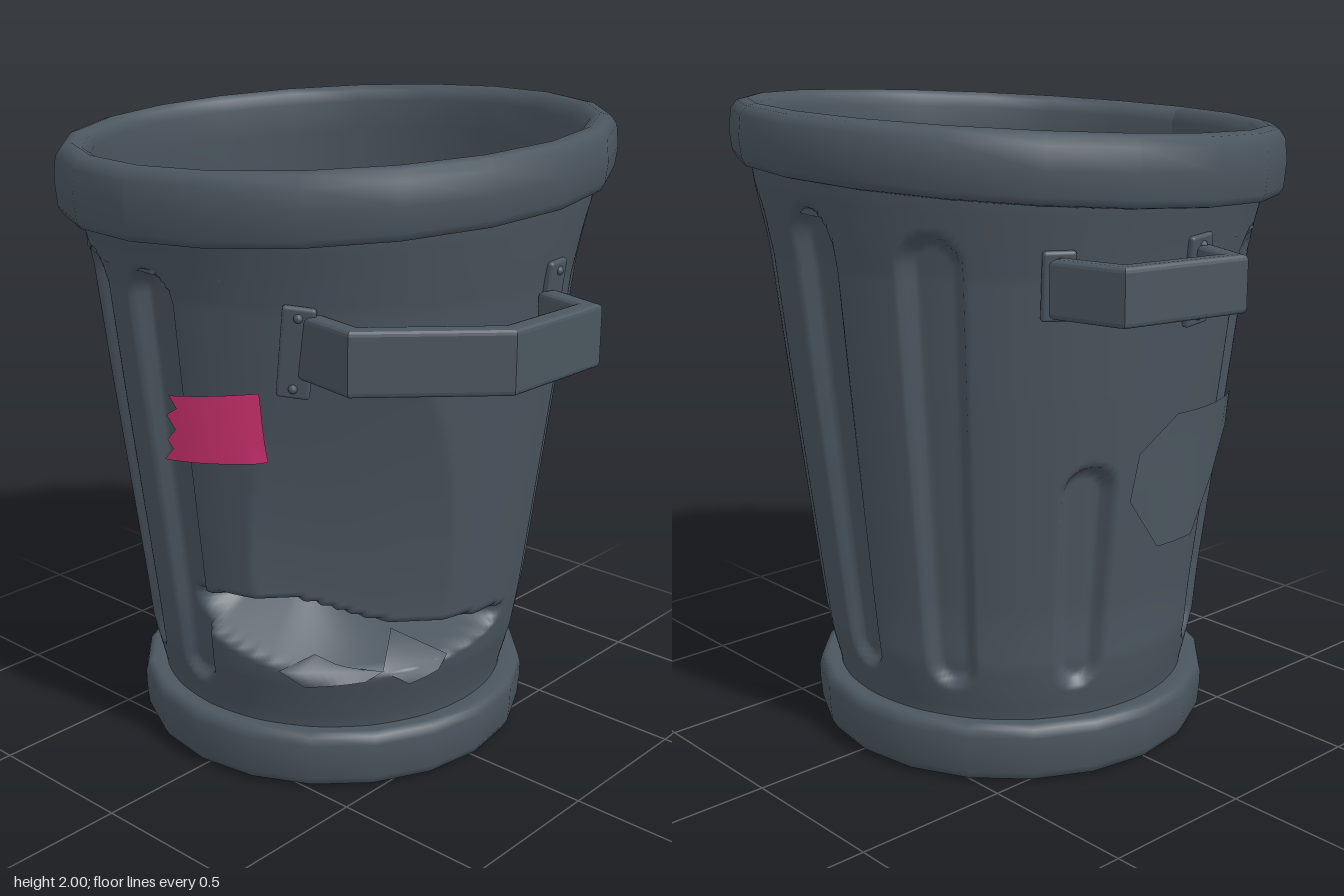
import * as THREE from 'three';
import { RoundedBoxGeometry } from 'three/addons/geometries/RoundedBoxGeometry.js';

const RAD = Math.PI / 180;
const { lerp, clamp, smoothstep } = THREE.MathUtils;

// wall radius by height
const PROFILE = [[0.08, 0.55], [0.2, 0.567], [0.36, 0.607], [1.2, 0.71], [1.55, 0.75], [1.75, 0.79], [1.9, 0.81]];
function wallRadius(y) {
  let i = 1;
  while (i < PROFILE.length - 1 && y > PROFILE[i][0]) i++;
  const [y0, r0] = PROFILE[i - 1], [y1, r1] = PROFILE[i];
  return lerp(r0, r1, clamp((y - y0) / (y1 - y0), 0, 1));
}
const angleGap = (a, b) => ((a - b + 540) % 360 + 360) % 360 - 180;
const tilt = (x, z) => 0.028 * x - 0.042 * z;

// flutes: azimuth (0 = front, 90 = +x), bottom, top
const FLUTES = [
  [-2.5, 0.27, 1.63], [-28.5, 0.29, 1.63], [-59, 0.29, 1.63], [-112, 0.28, 1.0],
  [-149, 0.28, 1.68], [180, 0.28, 1.72], [150, 0.3, 1.72], [120, 0.28, 1.73],
];
function fluteDepth(az, y, r) {
  let depth = 0;
  const t = clamp((y - 0.3) / 1.4, 0, 1);
  for (const [a, bottom, top] of FLUTES) {
    const half = lerp(0.078, 0.102, t);
    const s = angleGap(az, a) * RAD * r;
    const v = y - clamp(y, bottom + half, top - half);
    depth = Math.max(depth, lerp(0.035, 0.058, t) * smoothstep(half - Math.hypot(s, v), 0, 0.035));
  }
  return depth;
}

// crushed corner: flattened above, an overhang folding in, then a ledge stepping back out
function dentedRadius(az, y, r) {
  const gap = angleGap(az, 48), e = Math.abs(gap);
  if (e > 53 || y > 1.5 || y < 0.38) return r;
  const top = lerp(0.64, 0.54, smoothstep(gap, -25, 15)), fold = top - 0.05;
  let d;
  if (y > top) d = lerp(0.57, wallRadius(1.5), ((y - top) / (1.5 - top)) ** 1.5);
  else if (y > fold) d = lerp(0.3, 0.57, (y - fold) / 0.05);
  else d = lerp(wallRadius(0.38), 0.3, (y - 0.38) / (fold - 0.38));
  const w = 1 - smoothstep(e, 42, 53);
  return Math.min(r, lerp(r, d / Math.cos(e * RAD), w));
}

function meshFrom(positions, index, material) {
  const g = new THREE.BufferGeometry();
  g.setAttribute('position', new THREE.Float32BufferAttribute(positions, 3));
  g.setIndex(index);
  g.computeVertexNormals();
  return new THREE.Mesh(g, material);
}

function buildWall(material) {
  const cols = 320, rows = 110, pos = [], idx = [];
  for (let j = 0; j <= rows; j++) {
    const y = lerp(0.08, 1.84, j / rows);
    const shift = 1 - smoothstep(y, 0.2, 0.55);
    for (let i = 0; i < cols; i++) {
      const az = i * 360 / cols, r0 = wallRadius(y);
      const r = dentedRadius(az, y, r0 - fluteDepth(az, y, r0));
      const x = r * Math.sin(az * RAD), z = r * Math.cos(az * RAD);
      pos.push(x - 0.02 * shift, y + tilt(x, z) * smoothstep(y, 1.6, 1.84), z - 0.01 * shift);
      if (j < rows) {
        const a = j * cols + i, b = j * cols + (i + 1) % cols;
        idx.push(a, b, b + cols, a, b + cols, a + cols);
      }
    }
  }
  return meshFrom(pos, idx, material);
}

// thin sheet wrapped on the wall; rows go top to bottom: [arcLeft, yLeft, arcRight, yRight, extra lift]
function wallPatch(rows, az, lift, material) {
  const cols = 10, pos = [], idx = [];
  rows.forEach(([sl, yl, sr, yr, extra = 0], j) => {
    for (let i = 0; i <= cols; i++) {
      const s = lerp(sl, sr, i / cols), y = lerp(yl, yr, i / cols);
      const r0 = wallRadius(y), a = az + s / r0 / RAD;
      const r = dentedRadius(a, y, r0) + lift + extra;
      pos.push(r * Math.sin(a * RAD), y, r * Math.cos(a * RAD));
      if (j < rows.length - 1 && i < cols) {
        const p = j * (cols + 1) + i, q = p + cols + 1;
        idx.push(p, q, q + 1, p, q + 1, p + 1);
      }
    }
  });
  return meshFrom(pos, idx, material);
}

// flat bar bent along a path of [x, z] points
function buildBar(path, y, height, thickness, material) {
  const pts = path.map(p => new THREE.Vector2(p[0], -p[1]));
  const sides = [[], []];
  pts.forEach((p, i) => {
    const a = p.clone().sub(pts[Math.max(i - 1, 0)]).normalize();
    const b = pts[Math.min(i + 1, pts.length - 1)].clone().sub(p).normalize();
    const dir = a.clone().add(b).normalize();
    const n = new THREE.Vector2(-dir.y, dir.x);
    const ref = a.lengthSq() ? a : b;
    const k = thickness / 2 / Math.max(0.5, ref.dot(dir));
    sides[0].push(p.clone().addScaledVector(n, k));
    sides[1].unshift(p.clone().addScaledVector(n, -k));
  });
  const bevel = 0.015;
  const g = new THREE.ExtrudeGeometry(new THREE.Shape([...sides[0], ...sides[1]]), {
    depth: height - 2 * bevel, bevelEnabled: true, bevelSize: bevel, bevelThickness: bevel,
    bevelOffset: -bevel, bevelSegments: 3,
  });
  g.rotateX(-Math.PI / 2).translate(0, y - height / 2 + bevel, 0);
  return new THREE.Mesh(g, material);
}

function buildMount(az, y, roll, height, material) {
  const mount = new THREE.Group();
  mount.name = 'handleMount';
  const plate = new THREE.Mesh(new RoundedBoxGeometry(0.095, height, 0.024, 2, 0.01), material);
  plate.name = 'mountPlate';
  mount.add(plate);
  for (const s of [-1, 1]) {
    const rivet = new THREE.Mesh(new THREE.SphereGeometry(0.014, 10, 6), material);
    rivet.name = 'rivet';
    rivet.position.set(0, s * (height / 2 - 0.03), 0.01);
    mount.add(rivet);
  }
  const r = wallRadius(y) + 0.01;
  mount.position.set(r * Math.sin(az * RAD), y, r * Math.cos(az * RAD));
  mount.rotation.set(0.12, az * RAD, roll, 'YXZ');
  return mount;
}

function lathe(points, material) {
  return new THREE.Mesh(new THREE.LatheGeometry(points.map(p => new THREE.Vector2(...p)), 20), material);
}

export function createModel() {
  const metal = new THREE.MeshStandardMaterial({ color: 0x4b565f, side: THREE.DoubleSide });
  metal.name = 'dark metal';
  const pink = new THREE.MeshStandardMaterial({ color: 0xdd3678, side: THREE.DoubleSide });
  pink.name = 'pink tape';
  const model = new THREE.Group();
  const add = (name, part) => { part.name = name; model.add(part); return part; };

  add('wall', buildWall(metal));

  // rounded foot with closed underside, and inner floor
  const foot = add('foot', lathe([
    [0, 0], [0.59, 0], [0.615, 0.008], [0.63, 0.035], [0.636, 0.1], [0.637, 0.15],
    [0.63, 0.178], [0.61, 0.187], [0.56, 0.18],
  ], metal));
  foot.position.set(-0.02, 0, -0.01);
  const floor = add('floor', new THREE.Mesh(new THREE.CircleGeometry(0.555, 40), metal));
  floor.rotation.x = -Math.PI / 2;
  floor.position.set(-0.02, 0.1, -0.01);

  // leaning rolled rim whose inside runs down into the wall
  const rim = add('rim', lathe([
    [0.785, 1.768], [0.81, 1.762], [0.838, 1.768], [0.85, 1.79], [0.857, 1.86], [0.85, 1.925],
    [0.83, 1.953], [0.8, 1.961], [0.77, 1.945], [0.755, 1.91], [0.757, 1.81], [0.767, 1.66],
  ], metal));
  const p = rim.geometry.attributes.position;
  for (let i = 0; i < p.count; i++) {
    const y = p.getY(i);
    p.setY(i, y + tilt(p.getX(i), p.getZ(i)) * (y < 1.8 ? 1.3 : 1));
  }
  rim.geometry.computeVertexNormals();

  // side handles
  add('leftHandle', buildBar([[0.76, -0.065], [0.935, -0.015], [0.925, 0.33], [0.63, 0.625], [0.43, 0.59]], 1.455, 0.185, 0.06, metal));
  add('rightHandle', buildBar([[-0.66, -0.43], [-0.87, -0.38], [-0.937, -0.02], [-0.765, 0.045]], 1.54, 0.165, 0.06, metal));
  for (const [az, y, roll, height] of [[34, 1.44, -0.1, 0.27], [98, 1.49, 0, 0.28], [-87, 1.52, 0.08, 0.27], [-122, 1.54, 0, 0.2]]) {
    model.add(buildMount(az, y, roll, height, metal));
  }

  // tape with a torn end
  add('tape', wallPatch([
    [0.01, 1.255, 0.32, 1.31], [0.035, 1.22, 0.32, 1.28], [-0.01, 1.19, 0.32, 1.24],
    [0.02, 1.15, 0.32, 1.2], [-0.02, 1.11, 0.32, 1.16], [0.0, 1.085, 0.32, 1.13], [-0.045, 1.04, 0.32, 1.095],
  ], 0, 0.008, pink));

  // bent panel on the side, lifting away at its lower end
  add('bentPanel', wallPatch([
    [-0.1, 1.12, 0.33, 1.1], [-0.24, 1.02, 0.25, 1.0, 0.008],
    [-0.26, 0.88, 0.12, 0.88, 0.02], [-0.15, 0.72, 0, 0.72, 0.035],
  ], -80, 0.012, metal));

  // torn scraps along the crushed ledge
  add('tornLip', wallPatch([
    [-0.1, 0.43, 0.0, 0.4], [-0.2, 0.4, 0.12, 0.39], [-0.12, 0.35, 0.06, 0.37],
  ], 45, 0.008, metal));
  add('tornShard', wallPatch([
    [0.2, 0.44, 0.22, 0.45], [0.12, 0.39, 0.34, 0.41], [0.2, 0.34, 0.3, 0.37],
  ], 45, 0.006, metal));
  return model;
}
